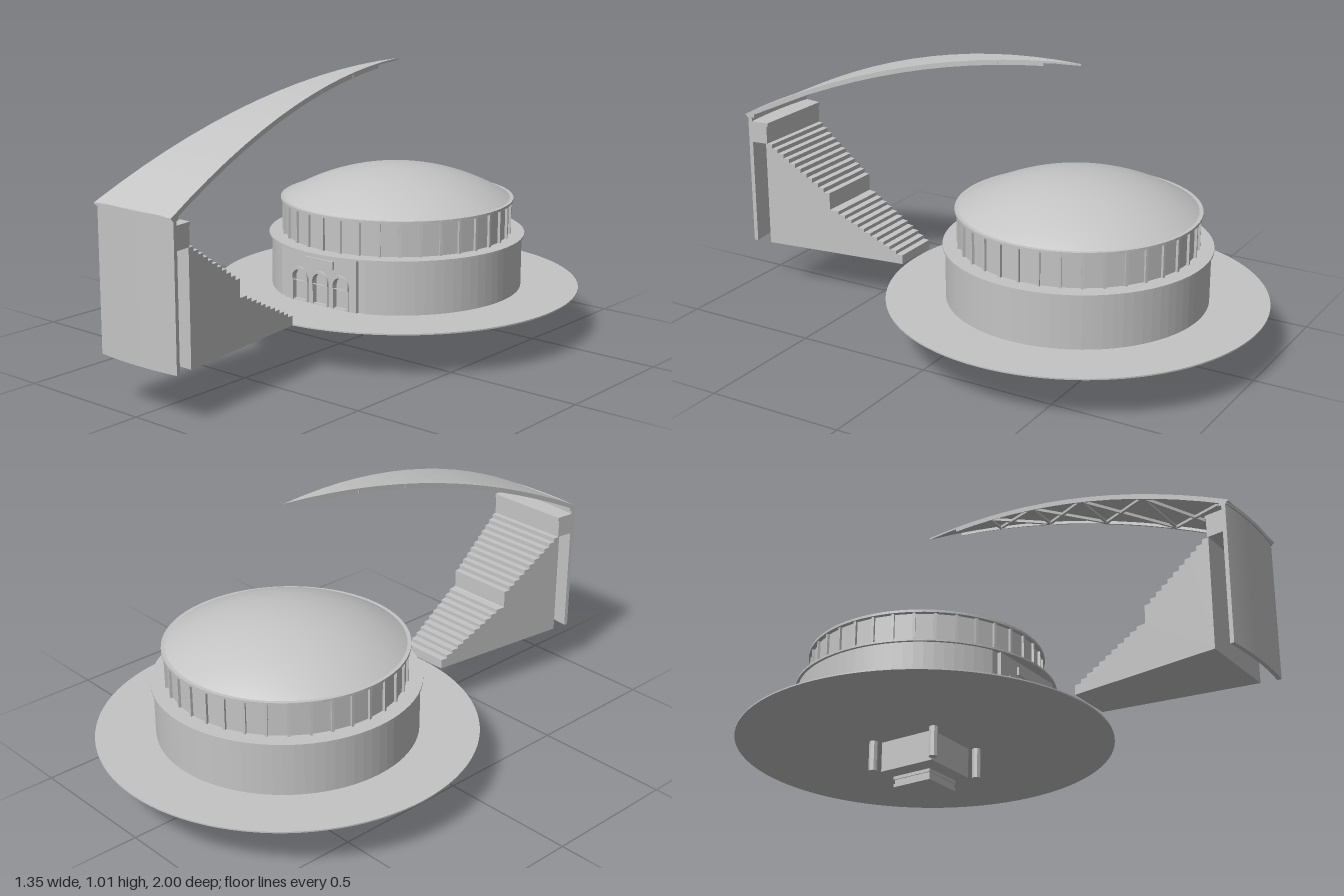
import * as THREE from 'three';

const HALF = THREE.MathUtils.degToRad(7.5); // half angle of the grandstand sector
const TAN = Math.tan(HALF);
const GROUND = 0.17;

export function createModel() {
  const root = new THREE.Group();
  // everything is laid out around the axis of the round hall
  const site = new THREE.Group();
  site.name = 'site';
  site.position.z = -0.325;
  root.add(site);

  const stone = new THREE.MeshStandardMaterial({ color: 0xc4c4c4 });
  stone.name = 'lightGrey';

  const add = (name, geometry, x = 0, y = 0, z = 0) => {
    const mesh = new THREE.Mesh(geometry, stone);
    mesh.name = name;
    mesh.position.set(x, y, z);
    site.add(mesh);
    return mesh;
  };
  const flat = (geometry) => {
    const g = geometry.index ? geometry.toNonIndexed() : geometry;
    g.computeVertexNormals();
    return g;
  };
  const box = (name, w, h, d, x, y, z) => add(name, new THREE.BoxGeometry(w, h, d), x, y, z);
  const drum = (name, r, y0, y1, sides) =>
    add(name, flat(new THREE.CylinderGeometry(r, r, y1 - y0, sides)), 0, (y0 + y1) / 2);

  // plan shape raised from y0 to y1
  const raise = (shape, y0, y1, curveSegments) => {
    const g = new THREE.ExtrudeGeometry(shape, { depth: y1 - y0, bevelEnabled: false, curveSegments });
    return g.rotateX(-Math.PI / 2).translate(0, y0, 0);
  };
  // ring sector facing the front
  const sector = (name, r0, r1, y0, y1) => {
    const s = new THREE.Shape();
    const a = -Math.PI / 2;
    s.absarc(0, 0, r1, a - HALF, a + HALF, false);
    s.absarc(0, 0, r0, a + HALF, a - HALF, true);
    add(name, raise(s, y0, y1, 12));
  };
  // side profile (radius, y) whose width grows with the radius
  const wedge = (name, points, from = -1, to = 1) => {
    const g = new THREE.ExtrudeGeometry(new THREE.Shape(points), { depth: 1, bevelEnabled: false });
    const p = g.attributes.position;
    for (let i = 0; i < p.count; i++) {
      const r = p.getX(i);
      p.setXYZ(i, -(from + (to - from) * p.getZ(i)) * r * TAN, p.getY(i), r);
    }
    g.computeVertexNormals();
    add(name, g);
  };
  const v2 = (x, y) => new THREE.Vector2(x, y);

  // plaza disc
  add('plaza', new THREE.CylinderGeometry(0.675, 0.675, 0.005, 96), 0, GROUND - 0.0025);

  // lower drum, cut flat at the entrance
  const cut = Math.asin(0.42 / 0.463);
  const plan = new THREE.Shape();
  plan.absarc(0, 0, 0.463, -cut, Math.PI + cut, false);
  add('lowerDrum', raise(plan, GROUND, 0.36, 36));
  drum('lowerLedge', 0.473, 0.36, 0.367, 72);

  // entrance front with three arched doorways
  const arch = (path, x, r, base, spring) => {
    path.moveTo(x - r, base);
    path.lineTo(x + r, base);
    path.lineTo(x + r, spring);
    path.absarc(x, spring, r, 0, Math.PI, false);
    path.lineTo(x - r, base);
    return path;
  };
  const facade = new THREE.Shape([v2(-0.165, GROUND), v2(0.165, GROUND), v2(0.165, 0.36), v2(-0.165, 0.36)]);
  const doors = [-0.095, 0, 0.095];
  for (const x of doors) facade.holes.push(arch(new THREE.Path(), x, 0.03, GROUND + 0.003, 0.255));
  add('entranceWall', new THREE.ExtrudeGeometry(facade, { depth: 0.015, bevelEnabled: false }), 0, 0, 0.42);
  for (const x of doors) {
    const trim = arch(new THREE.Shape(), x, 0.04, 0.245, 0.255);
    trim.holes.push(arch(new THREE.Path(), x, 0.03, 0.2455, 0.255));
    add('archTrim', new THREE.ExtrudeGeometry(trim, { depth: 0.008, bevelEnabled: false }), 0, 0, 0.435);
    for (const side of [-1, 1]) box('doorJamb', 0.01, 0.075, 0.005, x + side * 0.035, 0.2075, 0.4375);
  }
  box('entrancePanel', 0.13, 0.03, 0.008, 0, 0.325, 0.439);

  // upper drum with pilasters and rim
  drum('upperDrum', 0.415, 0.367, 0.488, 36);
  for (let i = 0; i < 36; i++) {
    const a = (i / 36) * Math.PI * 2;
    box('pilaster', 0.01, 0.121, 0.016, Math.sin(a) * 0.416, 0.4275, Math.cos(a) * 0.416).rotation.y = a;
  }
  drum('upperRim', 0.43, 0.488, 0.497, 72);

  // shallow dome
  const R = 0.806;
  add('dome', new THREE.SphereGeometry(R, 72, 16, 0, Math.PI * 2, 0, Math.asin(0.418 / R)), 0, 0.613 - R);

  // hanging base below the plaza
  box('baseBlock', 0.22, 0.112, 0.22, 0, 0.111, 0);
  box('baseFoot', 0.15, 0.04, 0.15, 0, 0.02, 0);
  for (const y of [0.006, 0.034]) box('footBand', 0.157, 0.012, 0.157, 0, y, 0);
  for (const x of [-1, 1]) for (const z of [-1, 1]) {
    add('basePost', flat(new THREE.CylinderGeometry(0.016, 0.016, 0.112, 8)), x * 0.131, 0.111, z * 0.131);
  }

  // tall curved wall behind the grandstand
  sector('backWall', 1.302, 1.317, GROUND, 0.66);
  sector('backWallCap', 1.292, 1.322, 0.66, 0.674);

  // grandstand in two stepped tiers
  const profile = [v2(0.68, GROUND), v2(1.235, GROUND), v2(1.235, 0.565)];
  const tier = (r1, y1, r0, y0, n) => {
    for (let i = 0; i < n; i++) {
      const ra = r1 + ((r0 - r1) * i) / n;
      const rb = r1 + ((r0 - r1) * (i + 1)) / n;
      const y = y1 + ((y0 - y1) * i) / (n - 1);
      profile.push(v2(ra, y), v2(rb, y));
    }
  };
  tier(1.234, 0.564, 0.975, 0.405, 11);
  profile.push(v2(0.975, 0.34));
  tier(0.965, 0.339, 0.68, 0.205, 11);
  wedge('grandstand', profile);
  wedge('upperGallery', [v2(1.23, 0.565), v2(1.303, 0.565), v2(1.303, 0.64), v2(1.23, 0.64)]);
  wedge('galleryShelf', [v2(1.225, 0.632), v2(1.303, 0.632), v2(1.303, 0.645), v2(1.225, 0.645)]);

  // soaring pointed canopy
  const roofY = (r) => 1.007 - 0.193 * r * r;
  const strip = (r0, r1, top, bottom, n) => {
    const up = [], down = [];
    for (let i = 0; i <= n; i++) {
      const r = r0 + ((r1 - r0) * i) / n;
      down.push(v2(r, roofY(r) - bottom));
      up.unshift(v2(r, roofY(r) - top));
    }
    return [...down, ...up];
  };
  wedge('canopy', strip(0.001, 1.317, 0, 0.007, 14));
  for (const s of [-1, 1]) {
    const edge = strip(0.135, 1.305, 0.006, 0.018, 13);
    wedge('canopyEdgeBeam', edge, s < 0 ? -1 : 0.94, s < 0 ? -0.94 : 1);
  }

  // crossed bracing under the canopy
  const bar = (r0, s0, r1, s1) => {
    const at = (r, s) => new THREE.Vector3(s * r * TAN * 0.95, roofY(r) - 0.012, r);
    const a = at(r0, s0), b = at(r1, s1);
    const mesh = box('canopyBrace', 0.009, 0.01, a.distanceTo(b), 0, 0, 0);
    mesh.position.copy(a).add(b).multiplyScalar(0.5);
    mesh.quaternion.setFromUnitVectors(new THREE.Vector3(0, 0, 1), b.sub(a).normalize());
  };
  const stops = [0.3, 0.5, 0.72, 0.98, 1.29];
  stops.forEach((r, i) => {
    bar(r, -1, r, 1);
    if (i === 0) return;
    bar(stops[i - 1], -1, r, 1);
    bar(stops[i - 1], 1, r, -1);
  });

  return root;
}
